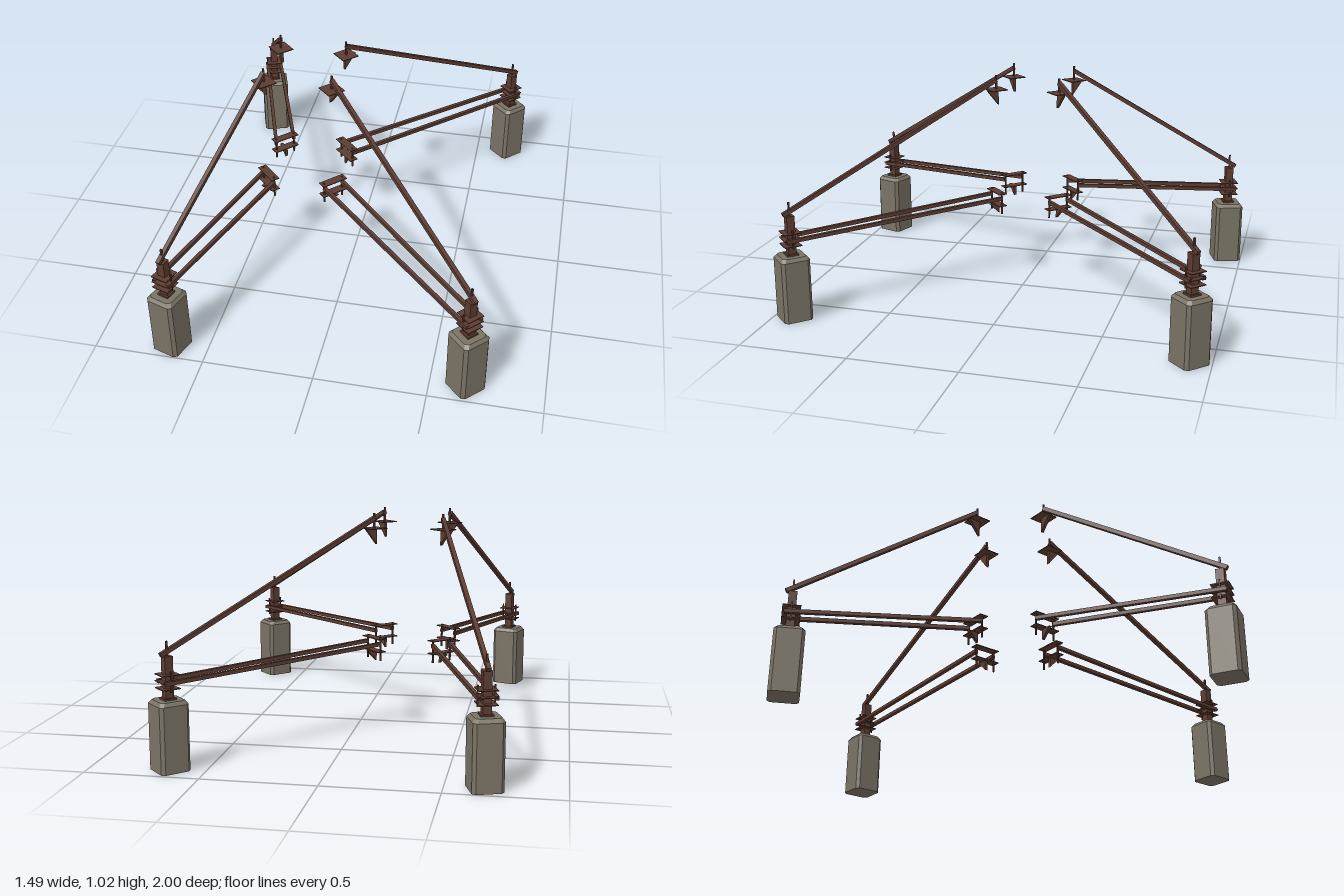
import * as THREE from 'three';

const rust = new THREE.MeshStandardMaterial({ color: 0x5c3c31 });
rust.name = 'rustBrown';
const stone = new THREE.MeshStandardMaterial({ color: 0x7a7365 });
stone.name = 'stoneGrey';

function add(parent, name, geometry, material, x = 0, y = 0, z = 0) {
  const mesh = new THREE.Mesh(geometry, material);
  mesh.name = name;
  mesh.position.set(x, y, z);
  parent.add(mesh);
  return mesh;
}

const box = (w, h, d) => new THREE.BoxGeometry(w, h, d);

// Square bar running from a to b
function bar(parent, name, a, b, size) {
  const mesh = add(parent, name, box(size, size, a.distanceTo(b)), rust);
  mesh.position.copy(a).lerp(b, 0.5);
  mesh.lookAt(b);
}

// Block with chamfered corners and a sloped top rim
function blockGeometry(width, height, cut) {
  const h = width / 2;
  const ring = (inset, y) => {
    const a = h - inset, c = a - cut;
    return [[a, c], [c, a], [-c, a], [-a, c], [-a, -c], [-c, -a], [c, -a], [a, -c]].map(([x, z]) => [x, y, z]);
  };
  const rings = [ring(0, 0), ring(0, height - 0.016), ring(0.012, height)];
  const pos = [];
  const tri = (a, b, c) => pos.push(...a, ...b, ...c);
  for (let i = 0; i < 8; i++) {
    const j = (i + 1) % 8;
    for (let k = 0; k < 2; k++) {
      const [lo, hi] = [rings[k], rings[k + 1]];
      tri(lo[i], hi[i], hi[j]);
      tri(lo[i], hi[j], lo[j]);
    }
    tri([0, height, 0], rings[2][j], rings[2][i]);
    tri([0, 0, 0], rings[0][i], rings[0][j]);
  }
  const g = new THREE.BufferGeometry();
  g.setAttribute('position', new THREE.Float32BufferAttribute(pos, 3));
  g.computeVertexNormals();
  return g;
}

// Triangular fin hanging down, upright edge on the inner (+z) side
function finGeometry(length, drop) {
  const s = new THREE.Shape([new THREE.Vector2(0, 0), new THREE.Vector2(0, -drop), new THREE.Vector2(length, 0)]);
  const g = new THREE.ExtrudeGeometry(s, { depth: 0.014, bevelEnabled: false });
  g.translate(0, 0, -0.007);
  g.rotateY(Math.PI / 2);
  return g;
}

function buildAnchor(post, inner) {
  const group = new THREE.Group();
  const dir = inner.clone().sub(post).normalize();
  const side = new THREE.Vector3(dir.z, 0, -dir.x);
  const toward = new THREE.Vector3(-Math.sign(post.x), 0, -Math.sign(post.z)).normalize();
  if (toward.dot(dir) < 0) toward.negate();
  const innerSide = new THREE.Vector3(toward.z, 0, -toward.x);

  // Footing and mast
  const base = new THREE.Group();
  base.name = 'mastBase';
  base.position.copy(post);
  base.rotation.y = Math.atan2(dir.x, dir.z);
  group.add(base);
  add(base, 'footing', blockGeometry(0.134, 0.305, 0.014), stone);
  add(base, 'mast', box(0.037, 0.19, 0.037), rust, 0, 0.395, 0);
  add(base, 'mastFoot', box(0.054, 0.008, 0.054), rust, 0, 0.309, 0);
  add(base, 'mastPin', box(0.008, 0.07, 0.008), rust, 0, 0.518, 0);
  for (const y of [0.353, 0.383, 0.412]) add(base, 'collarPlate', box(0.08, 0.004, 0.08), rust, 0, y, 0);
  for (const x of [-0.036, 0.036]) add(base, 'collarPin', box(0.006, 0.09, 0.006), rust, x, 0.385, 0);

  // One high strut and two low struts
  const at = (p, y, d, dd, s, ss) => p.clone().setY(y).addScaledVector(dd, d).addScaledVector(ss, s);
  bar(group, 'upperStrut', at(post, 0.495, -0.03, dir, 0, side), at(inner, 1.0, 0, dir, 0, side), 0.019);
  for (const s of [-1, 1]) {
    bar(group, 'lowerStrut', at(post, 0.38, -0.03, dir, s * 0.036, side),
      at(inner, 0.42, 0, toward, s * 0.05, innerSide), 0.017);
  }

  // Brackets at the inner ends
  const bracket = new THREE.Group();
  bracket.name = 'innerBracket';
  bracket.position.copy(inner);
  bracket.rotation.y = Math.atan2(toward.x, toward.z);
  group.add(bracket);
  add(bracket, 'upperPlate', box(0.085, 0.004, 0.085), rust, 0, 0.953, 0);
  add(bracket, 'upperFin', finGeometry(0.06, 0.073), rust, 0, 0.952, 0).rotation.y = 0;
  add(bracket, 'upperPin', box(0.008, 0.075, 0.008), rust, 0, 0.985, 0);
  for (const y of [0.383, 0.443]) add(bracket, 'lowerPlate', box(0.13, 0.004, 0.042), rust, 0, y, 0);
  add(bracket, 'lowerFin', finGeometry(0.05, 0.05), rust, 0, 0.383, 0);
  for (const x of [-0.05, 0.05]) add(bracket, 'lowerPin', box(0.007, 0.11, 0.007), rust, x, 0.395, 0);

  // Fins point away from the middle
  bracket.traverse((m) => {
    if (m.name.endsWith('Fin')) m.position.z = 0.01;
  });
  return group;
}

export function createModel() {
  const model = new THREE.Group();
  model.name = 'strutFrame';
  for (const sz of [1, -1]) {
    const left = buildAnchor(new THREE.Vector3(-0.665, 0, sz * 0.918), new THREE.Vector3(-0.405, 0, sz * 0.155));
    left.name = sz > 0 ? 'frontRightAnchor' : 'backRightAnchor';
    const right = buildAnchor(new THREE.Vector3(0.655, 0, sz * 0.902), new THREE.Vector3(-0.09, 0, sz * 0.155));
    right.name = sz > 0 ? 'frontLeftAnchor' : 'backLeftAnchor';
    model.add(left, right);
  }
  return model;
}
